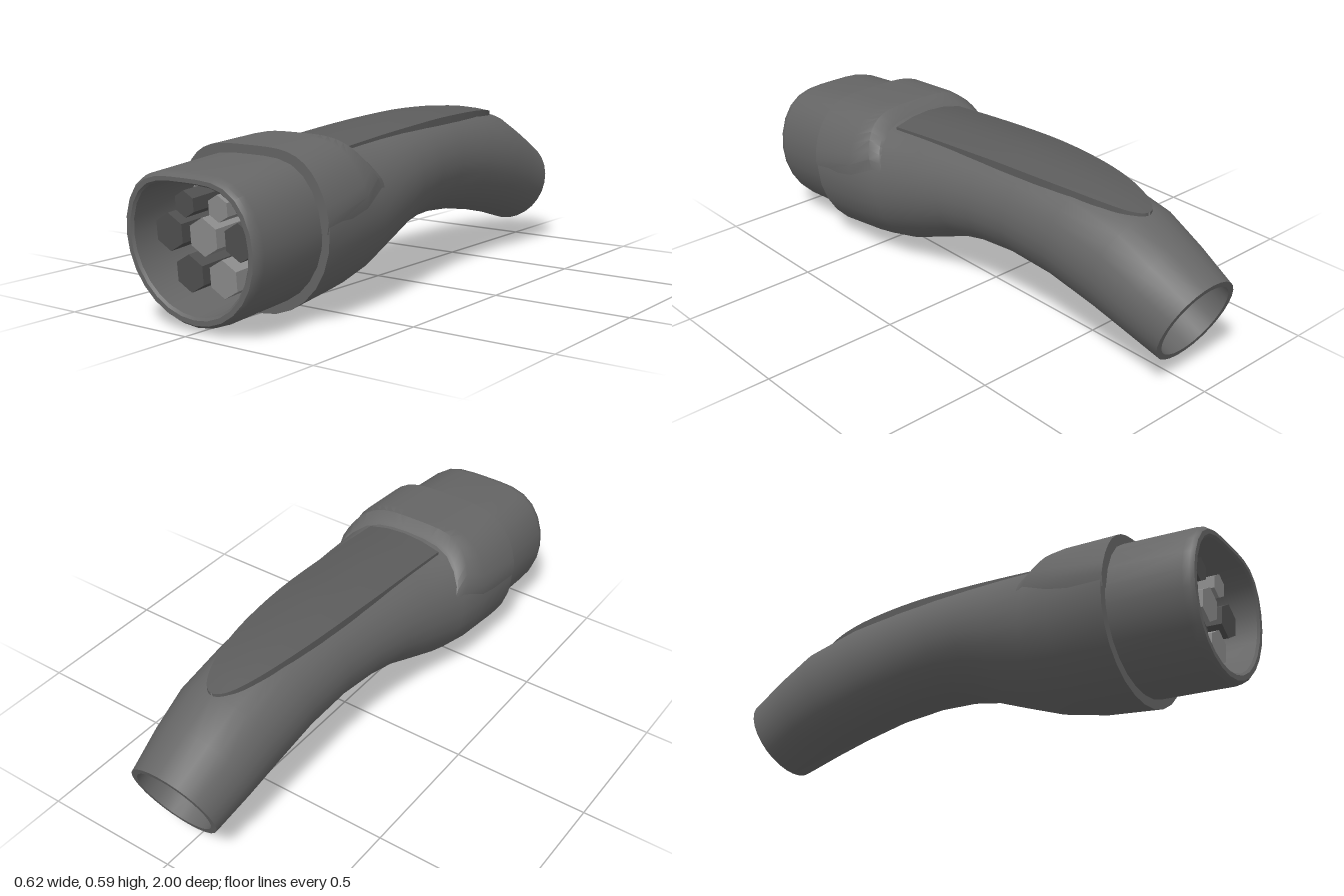
import * as THREE from 'three';
import { toCreasedNormals } from 'three/addons/utils/BufferGeometryUtils.js';

const paint = (color, side = THREE.FrontSide) => new THREE.MeshStandardMaterial({ color, side });
const shell = paint(0x666666);
const shellDouble = paint(0x666666, THREE.DoubleSide);
const padGrey = paint(0x5c5c5c, THREE.DoubleSide);
const socketGrey = paint(0x8c8c8c);
const darkPin = paint(0x505050);

// Skin a list of equal-length cross-sections
function loft(rows, closed, crease = 0.6) {
  const n = rows[0].length, index = [];
  for (let i = 0; i < rows.length - 1; i++) {
    for (let j = 0; j < (closed ? n : n - 1); j++) {
      const k = (j + 1) % n;
      const a = i * n + j, b = i * n + k, c = a + n, d = b + n;
      index.push(a, c, d, a, d, b);
    }
  }
  const g = new THREE.BufferGeometry();
  g.setAttribute('position', new THREE.Float32BufferAttribute(rows.flat(2), 3));
  g.setIndex(index);
  return toCreasedNormals(g, crease);
}

// Round section whose top is softly flattened to the fraction s of its radius
function section([zt, yt, zb, yb, w, s], scale = 1, from = 0, to = Math.PI * 2, n = 28, tuck = 1) {
  const uz = (zt - zb) / (1 + s), uy = (yt - yb) / (1 + s);
  const pts = [], count = to - from > 6.28 ? n : n + 1;
  for (let j = 0; j < count; j++) {
    const a = from + (to - from) * j / n;
    const k = j === 0 || j === n ? scale * tuck : scale;
    const sin = Math.sin(a);
    const v = (sin - (1 - s) * Math.max(0, sin) ** 4.5) * k;
    pts.push([Math.cos(a) * w * k, yb + uy * (1 + v), zb + uz * (1 + v)]);
  }
  return pts;
}

function add(parent, name, geometry, material = shell) {
  const mesh = new THREE.Mesh(geometry, material);
  mesh.name = name;
  parent.add(mesh);
  return mesh;
}

export function createModel() {
  const model = new THREE.Group();
  model.name = 'chargingConnector';

  // Curved handle: top z, top y, bottom z, bottom y, half width, flatness
  const spine = [
    [0.69, 0.55, 0.655, 0.002, 0.307, 0.78],
    [0.46, 0.55, 0.45, 0.03, 0.3, 0.8],
    [0.38, 0.538, 0.31, 0.065, 0.286, 0.83],
    [0.2, 0.56, 0.16, 0.125, 0.26, 0.86],
    [0.06, 0.572, 0.04, 0.175, 0.24, 0.88],
    [-0.1, 0.582, -0.08, 0.2, 0.222, 0.89],
    [-0.28, 0.586, -0.22, 0.207, 0.206, 0.9],
    [-0.5, 0.577, -0.4, 0.195, 0.2, 0.93],
    [-0.72, 0.537, -0.6, 0.16, 0.198, 0.97],
    [-0.85, 0.475, -0.73, 0.13, 0.188, 1],
    [-1, 0.395, -0.88, 0.085, 0.166, 1],
  ];
  const end = spine[spine.length - 1];
  const inner = [-0.8, 0.475, -0.7, 0.165, 0.166, 1];
  add(model, 'handle', loft([
    section(spine[0], 0.8),
    ...spine.map((s) => section(s)),
    section(end, 0.87), section(inner, 0.87), section(inner, 0),
  ], true));

  // Shroud over the upper front, its rear edge sweeping back down the sides
  const arc = (s, scale, start) => section(s, scale, start, Math.PI - start, 24, 0.97);
  const front = [0.70, 0.56, 0.655, 0.002, 0.311, 0.78];
  add(model, 'collar', loft([
    arc(front, 0.85, -0.05), arc(front, 1, -0.05),
    arc([0.5, 0.573, 0.42, 0.015, 0.311, 0.78], 1, 0.08),
    arc([0.455, 0.575, 0.16, 0.02, 0.297, 0.78], 1, 0.24),
    arc([0.415, 0.55, 0.1, 0.04, 0.284, 0.8], 1, 0.28),
    arc([0.4, 0.53, 0.08, 0.05, 0.27, 0.8], 0.96, 0.3),
  ], false), shellDouble);

  // Thumb pad along the top, narrowing to a rounded tip
  const ridge = new THREE.CatmullRomCurve3([
    [0.378, 0.556], [0.2, 0.573], [0, 0.588], [-0.2, 0.597], [-0.45, 0.59], [-0.6, 0.572], [-0.725, 0.545],
  ].map(([z, y]) => new THREE.Vector3(0, y, z)));
  const padRows = [];
  for (let i = 0; i <= 28; i++) {
    const p = ridge.getPoint(1 - (1 - i / 28) ** 2);
    const r = Math.max(0, (0.15 - p.z) / 0.875);
    const w = 0.15 * Math.sqrt(Math.max(0.0004, 1 - r ** 2.6));
    const row = [1, 1, 0.5, 0, -0.5, -1, -1].map((k, j) => {
      const x = k * w, skirt = j === 0 || j === 6 ? 0.05 : 0;
      return [x, p.y - 1.1 * x * x - skirt, p.z];
    });
    if (i === 0) padRows.push(row.map(([x, y, z]) => [x, y - 0.05, z]));
    padRows.push(row);
  }
  add(model, 'thumbPad', loft(padRows, false), padGrey);

  // Plug head, tilted slightly downwards, with a deep socket
  const head = new THREE.Group();
  head.name = 'plugHead';
  head.position.set(0, 0.288, 0.98);
  head.rotation.x = 0.085;
  model.add(head);
  const ring = (r, z) => section([z, r * 0.78, z, -r, r, 0.78]);
  add(head, 'plugShell', loft([
    ring(0.235, -0.26), ring(0.237, -0.008), ring(0.245, 0),
    ring(0.262, 0), ring(0.272, -0.012), ring(0.276, -0.035), ring(0.279, -0.33),
  ], true));
  add(head, 'socketFloor', loft([ring(0, -0.26), ring(0.236, -0.26)], true), socketGrey);

  // Seven hexagonal contacts standing on the socket floor
  const pins = [
    [0, 0.002, 0.0625, socketGrey], [0.07, -0.124, 0.0625, socketGrey], [0.07, 0.1, 0.0435, socketGrey],
    [0.145, 0.002, 0.0625, darkPin], [-0.145, 0.002, 0.0625, darkPin],
    [-0.07, -0.124, 0.0625, darkPin], [-0.07, 0.1, 0.0435, darkPin],
  ];
  for (const [x, y, r, material] of pins) {
    const g = new THREE.CylinderGeometry(r, r, 0.2, 6).rotateX(Math.PI / 2);
    add(head, 'contactPin', toCreasedNormals(g, 0.5), material).position.set(x, y, -0.17);
  }
  return model;
}
